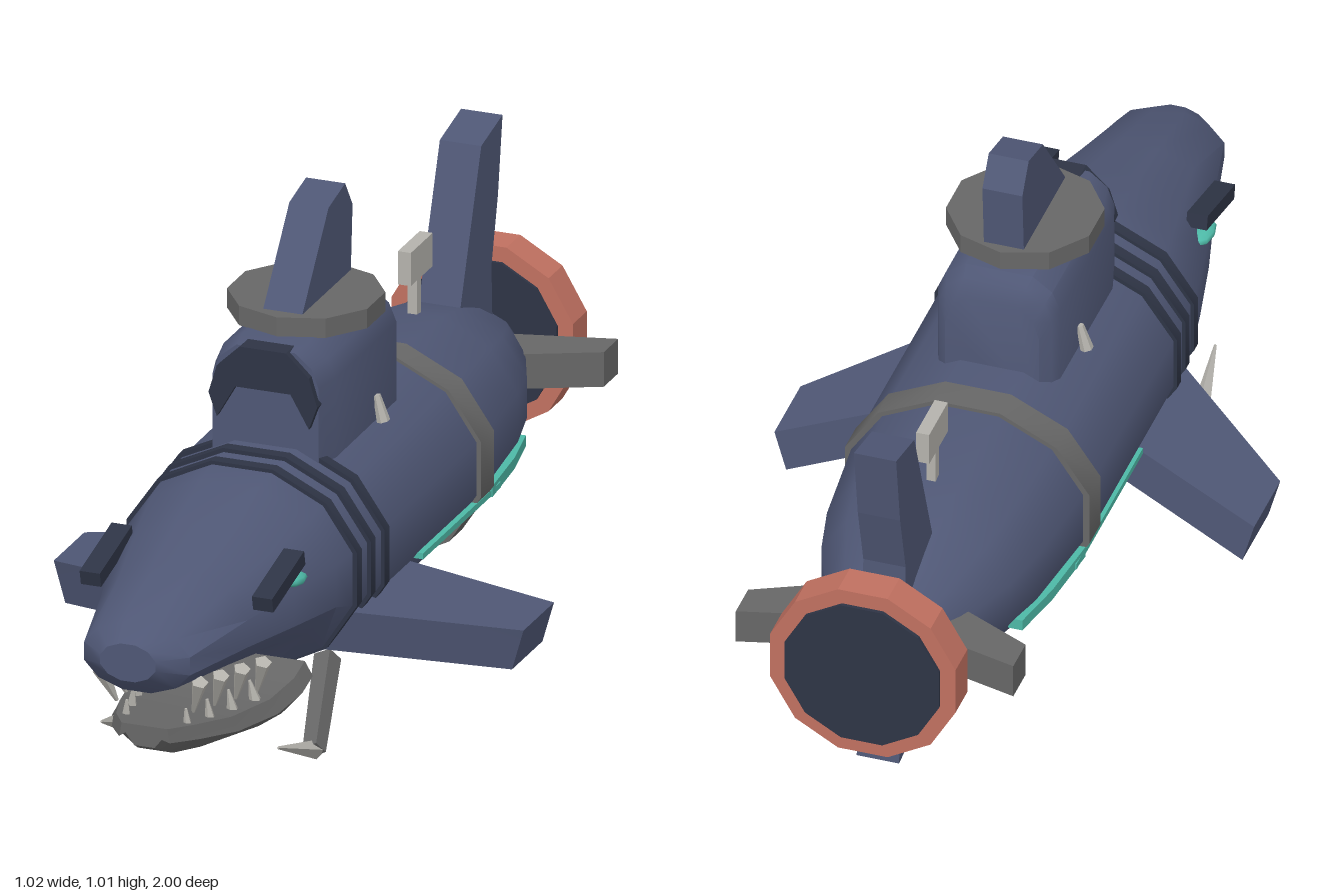
import * as THREE from 'three';
import { toCreasedNormals } from 'three/addons/utils/BufferGeometryUtils.js';

const paint = (name, color) => Object.assign(new THREE.MeshStandardMaterial({ color }), { name });

export function createModel() {
  const navy = paint('navy', 0x4f5775), dark = paint('dark navy', 0x2e3445), gray = paint('gunmetal', 0x676767);
  const pale = paint('pale metal', 0xb4b2ac), coral = paint('coral', 0xc07060), teal = paint('teal', 0x4db8a6);
  const model = new THREE.Group();
  model.name = 'sharkSubmarine';

  const add = (name, geo, mat, x = 0, y = 0, z = 0) => {
    const mesh = new THREE.Mesh(geo, mat);
    mesh.name = name;
    mesh.position.set(x, y, z);
    model.add(mesh);
    return mesh;
  };

  // Skin a list of equal-length cross-sections and cap both ends; always wound outward.
  const loft = (sections, crease = 0.1) => {
    const n = sections[0].length, rows = sections.length, index = [];
    const p = sections.flat().map((v) => new THREE.Vector3(...v));
    for (let r = 0; r < rows - 1; r++) for (let i = 0; i < n; i++) {
      const a = r * n + i, b = r * n + (i + 1) % n;
      index.push(a, b, a + n, b, b + n, a + n);
    }
    const e = (rows - 1) * n;
    for (let i = 1; i < n - 1; i++) index.push(0, i + 1, i, e, e + i, e + i + 1);
    let volume = 0;
    for (let i = 0; i < index.length; i += 3)
      volume += p[index[i]].dot(new THREE.Vector3().crossVectors(p[index[i + 1]], p[index[i + 2]]));
    if (volume < 0) index.reverse();
    const geo = new THREE.BufferGeometry().setFromPoints(p);
    geo.setIndex(index);
    return toCreasedNormals(geo, crease);
  };

  // Upright plate from a [z, y] outline, centred on x = 0
  const plate = (points, width) => new THREE.ExtrudeGeometry(
    new THREE.Shape(points.map(([z, y]) => new THREE.Vector2(z, y))), { depth: width, bevelEnabled: false })
    .translate(0, 0, -width / 2).rotateY(-Math.PI / 2);

  // Twelve-sided section with flat top: z, top, bottom, half width, height of the widest point
  const ringSection = ([z, top, bottom, hw, mid]) => Array.from({ length: 12 }, (_, i) => {
    const a = (i + 0.5) * Math.PI / 6, k = Math.cos(Math.PI / 12);
    const s = Math.sin(a) / k;
    return [Math.cos(a) / k * hw, mid + s * (s > 0 ? top - mid : mid - bottom), z];
  });

  const barBetween = (name, a, b, r1, r2, sides, mat) => {
    const A = new THREE.Vector3(...a), B = new THREE.Vector3(...b);
    const m = add(name, toCreasedNormals(new THREE.CylinderGeometry(r2, r1, A.distanceTo(B), sides), 0.1), mat);
    m.position.copy(A).lerp(B, 0.5);
    m.quaternion.setFromUnitVectors(new THREE.Vector3(0, 1, 0), B.sub(A).normalize());
    return m;
  };

  // Hull with the snout and the raised upper jaw
  add('hull', loft([
    [1.0, 0.4, 0.32, 0.06, 0.36], [0.95, 0.425, 0.28, 0.115, 0.35], [0.75, 0.475, 0.255, 0.16, 0.35],
    [0.6, 0.51, 0.235, 0.2, 0.35], [0.45, 0.545, 0.205, 0.232, 0.35], [0.39, 0.552, 0.135, 0.24, 0.35],
    [0.25, 0.557, 0.13, 0.25, 0.35], [-0.3, 0.563, 0.13, 0.25, 0.35], [-0.55, 0.545, 0.155, 0.225, 0.35],
    [-0.66, 0.52, 0.18, 0.2, 0.35], [-0.79, 0.475, 0.225, 0.145, 0.355], [-0.92, 0.41, 0.295, 0.07, 0.355],
  ].map(ringSection), 0.7), navy);

  // Bands round the hull
  const band = (name, z0, z1, hw, mat) => add(name, loft([z0, z1].map((z) =>
    ringSection([z, 0.35 + hw * 0.84, 0.35 - hw * 0.88, hw, 0.35])), 0.7), mat);
  [0.37, 0.305, 0.24].forEach((z, i) => band('neckBand', z + 0.013, z - 0.013, 0.25 + i * 0.004, dark));
  band('midBand', -0.263, -0.333, 0.26, gray);

  // Conning tower, hood, deck disc and dorsal fin
  const towerSection = ([z, w, top]) => [[-w, 0.45], [w, 0.45], [w, top - 0.07], [w * 0.87, top - 0.03],
    [w * 0.55, top], [-w * 0.55, top], [-w * 0.87, top - 0.03], [-w, top - 0.07]].map(([x, y]) => [x, y, z]);
  add('tower', loft([[0.255, 0.115, 0.765], [0.2, 0.13, 0.77], [-0.13, 0.13, 0.77], [-0.155, 0.12, 0.755],
    [-0.175, 0.1, 0.72]].map(towerSection), 0.75), navy);
  add('towerHood', new THREE.ExtrudeGeometry(new THREE.Shape([[-0.1, 0.61], [-0.06, 0.68], [0.06, 0.68], [0.1, 0.61],
    [0.118, 0.66], [0.1, 0.72], [0.05, 0.768], [-0.05, 0.768], [-0.1, 0.72], [-0.118, 0.66]]
    .map((v) => new THREE.Vector2(...v))), { depth: 0.045, bevelEnabled: false }), dark, 0, 0, 0.225);
  add('towerDisc', toCreasedNormals(new THREE.CylinderGeometry(0.16, 0.16, 0.042, 10), 0.1), gray, 0, 0.79, 0.035);
  add('dorsalFin', plate([[0.17, 0.8], [0.02, 0.99], [-0.07, 1.01], [-0.11, 0.95], [-0.1, 0.8]], 0.085), navy);

  // Tail fins
  add('upperTailFin', plate([[-0.68, 0.49], [-0.8, 0.82], [-0.915, 0.845], [-0.89, 0.68], [-0.855, 0.54],
    [-0.86, 0.42], [-0.7, 0.42]], 0.09), navy);
  add('lowerTailFin', plate([[-0.72, 0.25], [-0.82, 0.09], [-0.897, 0.08], [-0.87, 0.3], [-0.74, 0.3]], 0.09), navy);

  // Propeller housing
  const circle = (r) => Array.from({ length: 12 }, (_, i) =>
    new THREE.Vector2(r * Math.cos((i + 0.5) * Math.PI / 6), r * Math.sin((i + 0.5) * Math.PI / 6)));
  const ring = new THREE.Shape(circle(0.204));
  ring.holes.push(new THREE.Path(circle(0.168)));
  add('propellerRing', new THREE.ExtrudeGeometry(ring, { depth: 0.075, bevelEnabled: false }), coral, 0, 0.36, -0.992);
  add('propellerCore', new THREE.ExtrudeGeometry(new THREE.Shape(circle(0.17)), { depth: 0.09, bevelEnabled: false }),
    dark, 0, 0.36, -1);

  // Periscope
  add('periscopePost', new THREE.BoxGeometry(0.02, 0.12, 0.022), pale, 0, 0.58, -0.55);
  add('periscopeHead', new THREE.BoxGeometry(0.028, 0.072, 0.118), pale, 0, 0.66, -0.555);

  // Lower jaw and its hinge drum
  add('lowerJaw', loft([[0.91, 0.055, 0.19, 0.145], [0.85, 0.095, 0.183, 0.115], [0.74, 0.135, 0.165, 0.09],
    [0.6, 0.165, 0.155, 0.068], [0.5, 0.178, 0.165, 0.06], [0.435, 0.175, 0.178, 0.08]].map(([z, w, top, bottom]) =>
    [[-w * 0.9, top], [w * 0.9, top], [w, top - 0.03], [w * 0.75, bottom + 0.025], [w * 0.4, bottom],
      [-w * 0.4, bottom], [-w * 0.75, bottom + 0.025], [-w, top - 0.03]].map(([x, y]) => [x, y, z])), 0.55), gray);
  const drum = add('jawHinge', toCreasedNormals(new THREE.CylinderGeometry(0.068, 0.068, 0.06, 8), 0.1)
    .rotateY(Math.PI / 8).rotateX(Math.PI / 2), navy, 0, 0.08, 0.4);
  drum.material = dark;

  for (const s of [1, -1]) {
    // Pectoral fin, swept back and down
    const finEnd = (x, y, front, back, lean) => [[s * x, y, front], [s * x, y, back],
      [s * (x - lean), y - 0.088, back], [s * (x - lean), y - 0.088, front]];
    add('pectoralFin', loft([finEnd(0.18, 0.275, 0.385, 0.06, 0.02), finEnd(0.51, 0.183, 0.13, -0.035, 0.025)]), navy);

    // Stub tail plane
    add('tailPlane', loft([0.32, 0.395].map((y) => [[0.06, -0.74], [0.14, -0.765], [0.295, -0.84], [0.295, -0.918],
      [0.09, -0.865], [0.06, -0.86]].map(([x, z]) => [s * x, y, z]))), gray);

    // Brow and eye
    add('brow', new THREE.BoxGeometry(0.044, 0.032, 0.178), dark, s * 0.187, 0.437, 0.65).rotation.x = 0.23;
    const eye = add('eye', new THREE.SphereGeometry(1, 8, 6), teal, s * 0.196, 0.417, 0.585);
    eye.scale.set(0.022, 0.013, 0.042);
    eye.rotation.x = -0.1;

    // Glowing flank strip, thicker toward the tail
    const strip = (name, rows) => add(name, loft(rows.map(([z, x, y0, y1]) =>
      [[s * (x - 0.03), y0, z], [s * x, y0, z], [s * x, y1, z], [s * (x - 0.03), y1, z]])), teal);
    strip('flankStrip', [[0.03, 0.252, 0.262, 0.275], [-0.39, 0.252, 0.262, 0.275]]);
    strip('rearFlankStrip', [[-0.34, 0.254, 0.26, 0.284], [-0.5, 0.238, 0.26, 0.284], [-0.62, 0.214, 0.26, 0.284]]);

    // Deck stud beside the tower
    barBetween('deckStud', [s * 0.148, 0.53, -0.015], [s * 0.133, 0.585, -0.015], 0.014, 0.008, 6, pale);

    // Teeth
    for (let i = 0; i < 4; i++) {
      const z = 0.88 - i * 0.082, x = 0.108 + i * 0.013, y = 0.29 - i * 0.014;
      barBetween('upperTooth', [s * x, y, z], [s * (x - 0.025), y - 0.078, z - 0.028], 0.018, 0.004, 5, pale);
      barBetween('lowerTooth', [s * (0.068 + i * 0.018), 0.155, 0.84 - i * 0.075],
        [s * (0.064 + i * 0.016), 0.213 - i * 0.005, 0.845 - i * 0.075], 0.013, 0.003, 5, pale);
    }

    // Folding claw arm below the jaw
    barBetween('clawArm', [s * 0.165, 0.15, 0.33], [s * 0.212, 0.025, 0.52], 0.028, 0.024, 4, gray);
    barBetween('clawTip', [s * 0.212, 0.02, 0.505], [s * 0.192, 0.08, 0.665], 0.02, 0.003, 4, pale);
  }
  return model;
}
